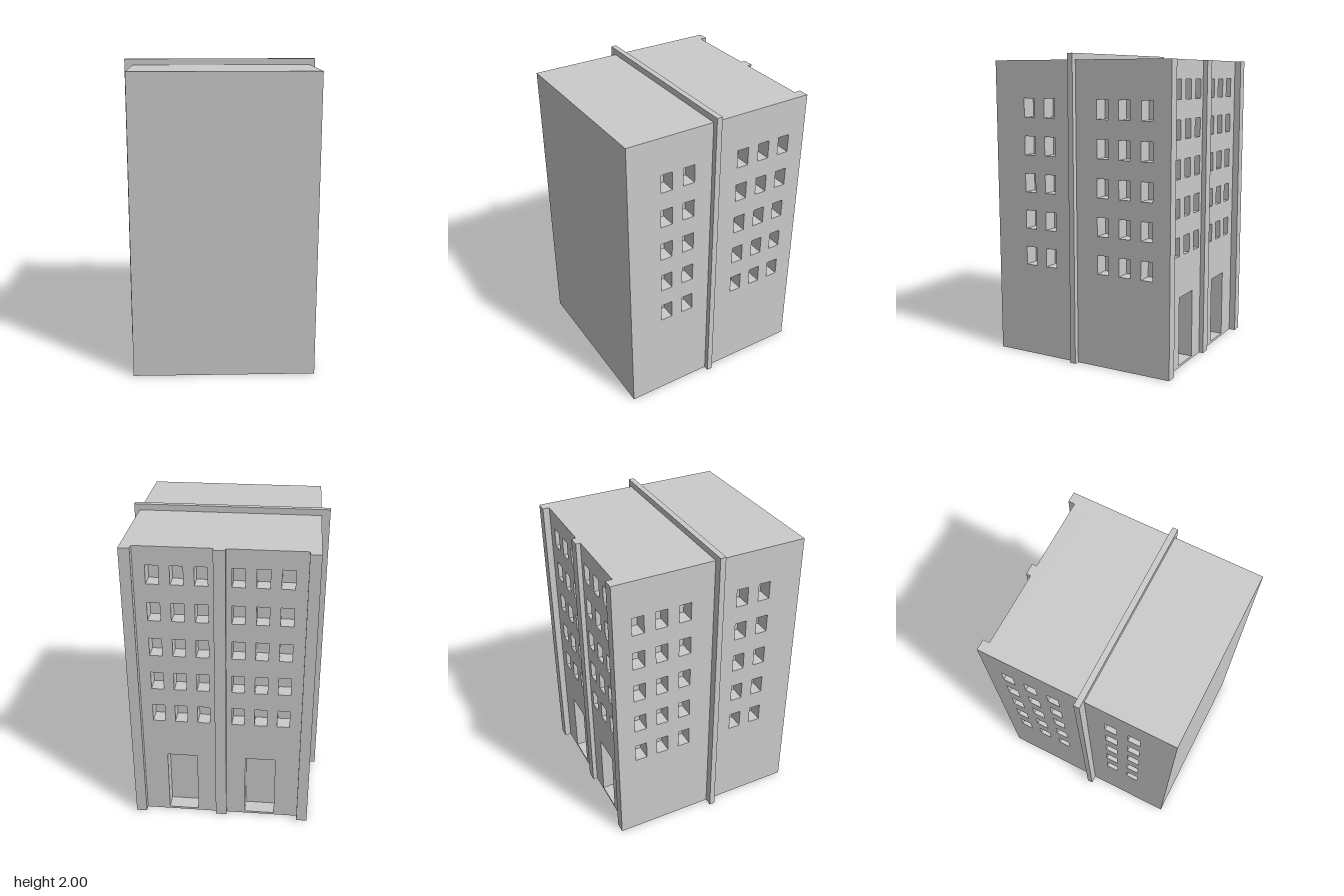
import * as THREE from 'three';

const X0 = -0.58, X1 = 0.6, Z0 = -0.6, Z1 = 0.64, ROOF = 1.96, WALL = 0.1;
const material = new THREE.MeshStandardMaterial({ color: 0xcccccc, flatShading: true });

function add(group, name, geometry) {
  const mesh = new THREE.Mesh(geometry, material);
  mesh.name = name;
  group.add(mesh);
  return mesh;
}

// Box given by its minimum and maximum corners
function box(group, name, [x0, y0, z0], [x1, y1, z1]) {
  const mesh = add(group, name, new THREE.BoxGeometry(x1 - x0, y1 - y0, z1 - z0));
  mesh.position.set((x0 + x1) / 2, (y0 + y1) / 2, (z0 + z1) / 2);
}

function rect(Type, u0, v0, u1, v1) {
  const pts = [[u0, v0], [u1, v0], [u1, v1], [u0, v1]].map(p => new THREE.Vector2(...p));
  return new Type(pts);
}

// Wall slab pierced by a grid of windows: five floors, one column per centre
function windowWall(u0, u1, centres, sill, doors = []) {
  const shape = rect(THREE.Shape, u0, 0, u1, ROOF);
  for (const c of centres)
    for (let floor = 0; floor < 5; floor++) {
      const v = sill + floor * 0.245;
      shape.holes.push(rect(THREE.Path, c - 0.04, v, c + 0.04, v + 0.122));
    }
  for (const c of doors) shape.holes.push(rect(THREE.Path, c - 0.1, 0.015, c + 0.1, 0.467));
  return new THREE.ExtrudeGeometry(shape, { depth: WALL, bevelEnabled: false });
}

export function createModel() {
  const building = new THREE.Group();
  building.name = 'apartmentBuilding';

  // Solid core behind the pierced walls closes every recess
  box(building, 'core', [X0 + WALL, 0, Z0 + WALL], [X1 - WALL, ROOF, Z1]);

  // Side walls, mirrored window layout
  const sideColumns = [0.376, 0.22, -0.172, -0.328, -0.483];
  for (const [name, x] of [['leftWall', X1], ['rightWall', X0 + WALL]]) {
    const wall = add(building, name, windowWall(Z0, Z1, sideColumns, 0.615));
    wall.rotation.y = -Math.PI / 2;
    wall.position.x = x;
  }

  // Back wall with six window columns and two entrances
  const mid = (X0 + X1) / 2;
  const backColumns = [0.112, 0.259, 0.406].flatMap(d => [mid - d, mid + d]);
  const back = add(building, 'backWall',
    windowWall(X0 + WALL, X1 - WALL, backColumns, 0.738, [mid - 0.262, mid + 0.262]));
  back.position.z = Z0;

  // Pilasters on the back
  box(building, 'cornerPilasterRight', [X0, 0, -0.643], [-0.51, ROOF, Z0]);
  box(building, 'cornerPilasterLeft', [0.53, 0, -0.643], [X1, ROOF, Z0]);
  box(building, 'middlePilaster', [-0.026, 0, -0.63], [0.047, ROOF, Z0]);

  // Band wrapping over the sides and roof
  const band = new THREE.Shape([
    [-0.635, 0], [X0, 0], [X0, ROOF], [X1, ROOF], [X1, 0], [0.635, 0], [0.635, 2], [-0.635, 2],
  ].map(p => new THREE.Vector2(...p)));
  const bandMesh = add(building, 'dividingBand',
    new THREE.ExtrudeGeometry(band, { depth: 0.037, bevelEnabled: false }));
  bandMesh.position.z = 0.02;

  return building;
}
